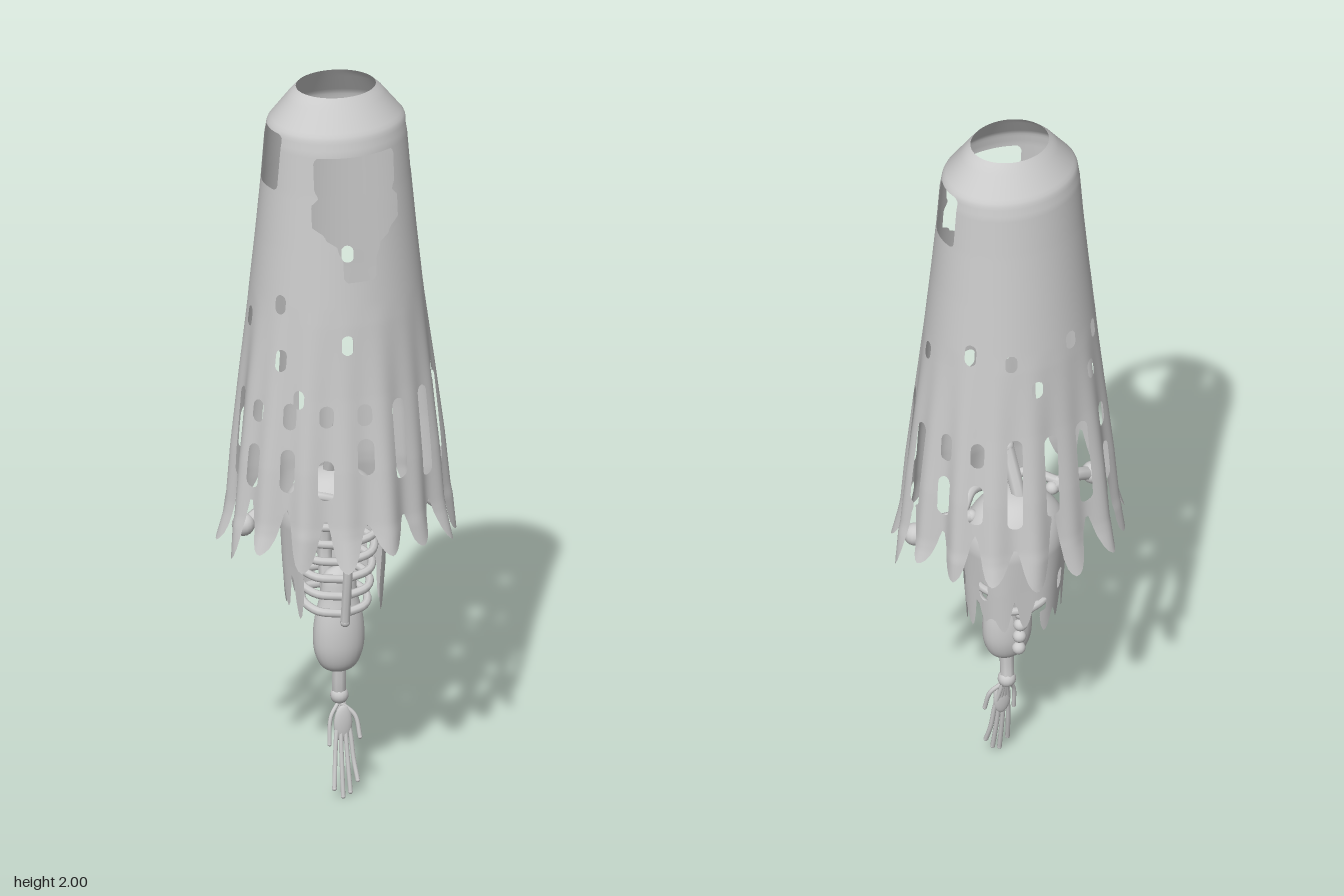
import * as THREE from 'three';
import { mergeVertices } from 'three/addons/utils/BufferGeometryUtils.js';

const V = (x, y, z) => new THREE.Vector3(x, y, z);
const rnd = (i) => { const s = Math.sin(i * 12.9898 + 4.1) * 43758.5453; return s - Math.floor(s); };
const mat = new THREE.MeshStandardMaterial({ color: 0xcccccc });
const clothMat = new THREE.MeshStandardMaterial({ color: 0xcccccc, side: THREE.DoubleSide });
const { PI, sin, cos, abs, min, max, hypot, round, floor, sqrt, exp } = Math;

// linear lookup in rows [y, ...values] sorted from top to bottom
function lookup(rows, y) {
  if (y >= rows[0][0]) return rows[0].slice(1);
  for (let i = 1; i < rows.length; i++) {
    if (y >= rows[i][0]) {
      const t = (rows[i - 1][0] - y) / (rows[i - 1][0] - rows[i][0]);
      return rows[i].slice(1).map((v, k) => rows[i - 1][k + 1] * (1 - t) + v * t);
    }
  }
  return rows[rows.length - 1].slice(1);
}

// cloth around the y axis (a = 0 is the front), trimmed where keep(a, y) < 0
function cloth(name, nu, nv, y0, y1, point, keep) {
  const pos = [];
  const node = (i, j) => {
    const a = -PI + 2 * PI * i / nu, y = y0 + (y1 - y0) * j / nv;
    return { a, y, f: keep(a, y) };
  };
  const grid = [];
  for (let i = 0; i <= nu; i++) {
    grid.push([]);
    for (let j = 0; j <= nv; j++) grid[i].push(node(i, j));
  }
  const clip = (tri) => {
    const out = [];
    tri.forEach((p, k) => {
      const q = tri[(k + 1) % 3];
      if (p.f >= 0) out.push(p);
      if ((p.f >= 0) !== (q.f >= 0)) {
        const [m, n] = p.f >= 0 ? [p, q] : [q, p], t = m.f / (m.f - n.f);
        out.push({ a: m.a + (n.a - m.a) * t, y: m.y + (n.y - m.y) * t });
      }
    });
    for (let k = 2; k < out.length; k++)
      for (const p of [out[0], out[k - 1], out[k]]) pos.push(...point(p.a, p.y));
  };
  for (let i = 0; i < nu; i++) {
    for (let j = 0; j < nv; j++) {
      const A = grid[i][j], B = grid[i + 1][j], C = grid[i + 1][j + 1], D = grid[i][j + 1];
      clip([A, D, C]);
      clip([A, C, B]);
    }
  }
  let geo = new THREE.BufferGeometry();
  geo.setAttribute('position', new THREE.Float32BufferAttribute(pos, 3));
  geo = mergeVertices(geo, 1e-5);
  geo.computeVertexNormals();
  const mesh = new THREE.Mesh(geo, clothMat);
  mesh.name = name;
  return mesh;
}

const wrap = (d) => d - 2 * PI * round(d / (2 * PI));
// upright rounded slot: angle, centre height, half length, radius
const slot = (a, y, s, R) => hypot(wrap(a - s[0]) * R, max(abs(y - s[1]) - s[2], 0)) - s[3];

// ragged hem: gaps between strips, uneven pointed tips
function hem(a, n, tipLow, tipVar, gapLow, gapVar, seed) {
  const p = (a / (2 * PI)) * n, i = round(p), d = abs(p - i);
  const tip = tipLow + tipVar * rnd(seed + ((floor(p) + n) % n)) + 0.06 * (0.5 - d);
  const gap = gapLow + gapVar * rnd(seed + 50 + ((i + n) % n));
  return tip + (gap - tip) * exp(-((d / 0.2) ** 2));
}

// robe: height, half width, half depth
const ROBE = [[2, 0.105, 0.09], [1.985, 0.122, 0.1], [1.91, 0.182, 0.15], [1.87, 0.188, 0.158], [1.75, 0.197, 0.168],
  [1.6, 0.211, 0.182], [1.4, 0.232, 0.2], [1.2, 0.256, 0.213], [1.0, 0.277, 0.23], [0.85, 0.288, 0.24], [0.7, 0.312, 0.258]];
const FACE = [[1.86, 0.1], [1.85, 0.11], [1.77, 0.11], [1.75, 0.1], [1.73, 0.118], [1.67, 0.118], [1.65, 0.09],
  [1.635, 0.085], [1.62, 0.06], [1.6, 0.055], [1.58, 0.045], [1.53, 0.045], [1.52, 0.035]];

function makeRobe() {
  const slots = [[-0.17, 1.35, 0.012, 0.015], [-1, 1.45, 0.01, 0.016], [-0.93, 1.3, 0.015, 0.015], [-0.69, 1.2, 0.01, 0.015],
    [1.47, 1.4, 0.01, 0.015], [2.2, 1.45, 0.015, 0.016], [1.09, 1.2, 0.01, 0.015], [-2.8, 1.45, 0.01, 0.016],
    [-2.3, 1.42, 0.012, 0.015], [-2, 1.48, 0.01, 0.015], [-2.5, 1.32, 0.012, 0.016], [2.7, 1.43, 0.01, 0.015],
    [3, 1.34, 0.01, 0.015], [-1.6, 1.38, 0.012, 0.015], [0, 1.155, 0.012, 0.018], [0, 1.04, 0.03, 0.02],
    [-0.39, 1.155, 0.012, 0.018], [-0.39, 0.98, 0.035, 0.02], [0.39, 1.07, 0.09, 0.02]];
  // slit columns between the strips
  for (let i = 2; i <= 14; i++) {
    const a = i * PI / 8;
    if (rnd(i) < 0.45) slots.push([a, 1.15, 0.012 + 0.02 * rnd(i + 7), 0.018], [a, 1.0, 0.04, 0.02]);
    else slots.push([a, 1.06, 0.1 + 0.02 * rnd(i + 9), 0.019]);
  }
  const point = (a, y) => {
    const [rx, rz] = lookup(ROBE, y);
    const t = min(max((1.45 - y) / 0.7, 0), 1), tip = max(0.82 - y, 0);
    const r = 1 + t * (0.03 * sin(5 * a + 1) + 0.02 * sin(9 * a) - 0.035 * cos(16 * a)) + tip * 0.4 * sin(7 * a + 2);
    return [sin(a) * rx * r, y, cos(a) * rz * r];
  };
  const keep = (a, y) => {
    const [rx, rz] = lookup(ROBE, y), R = (rx + rz) / 2;
    let f = y - hem(a, 16, 0.71, 0.07, 0.84, 0.1, 3);
    for (const s of slots) if (abs(y - s[1]) < s[2] + 0.08) f = min(f, slot(a, y, s, R));
    if (y > 1.45) {
      // face opening and the two side windows
      const x = sin(a) * rx, z = cos(a) * rz;
      if (cos(a) > 0) f = min(f, max(abs(x) - lookup(FACE, y)[0], abs(y - 1.69) - 0.17));
      const dz = max(abs(z - 0.01) - 0.035, 0), dy = max(abs(y - 1.828) - 0.062, 0);
      f = min(f, hypot(dz, dy) - 0.015);
    }
    return f;
  };
  return cloth('tatteredRobe', 200, 150, 2, 0.7, point, keep);
}

// inner cape: closed dome over the back of the rib cage
function makeCape() {
  const holes = [[2, 0.65, 0.015, 0.016], [-2.4, 0.64, 0.015, 0.016], [1.3, 0.66, 0.015, 0.015], [-3, 0.6, 0.01, 0.012]];
  const point = (a, y) => {
    const d = sqrt(max(1 - (max(y - 0.76, 0) / 0.14) ** 2, 0));
    const k = d * (1 - 0.5 * max(0.76 - y, 0)) * (1 + 0.03 * sin(6 * a) * min(1, (0.9 - y) * 4));
    return [0.01 + 0.14 * sin(a) * k, y, -0.04 + 0.122 * cos(a) * k];
  };
  const keep = (a, y) => {
    let f = min(y - hem(a, 14, 0.49, 0.06, 0.56, 0.07, 21), max((abs(a) - 0.95) * 0.13, y - 0.83));
    for (const s of holes) f = min(f, slot(a, y, s, 0.13));
    return f;
  };
  return cloth('innerCape', 96, 60, 0.9, 0.48, point, keep);
}

export function createModel() {
  const model = new THREE.Group();
  const add = (name, geo, p = [0, 0, 0], s = [1, 1, 1]) => {
    const m = new THREE.Mesh(geo, mat);
    m.name = name;
    m.position.set(...p);
    m.scale.set(...s);
    model.add(m);
    return m;
  };
  const ball = (name, r, p, s) => add(name, new THREE.SphereGeometry(r, 16, 12), p, s);
  const tube = (name, pts, r, n = 16) => {
    add(name, new THREE.TubeGeometry(new THREE.CatmullRomCurve3(pts.map((p) => V(...p))), n, r, 8));
    for (const p of [pts[0], pts[pts.length - 1]]) ball(name + 'End', r, p);
  };

  model.add(makeRobe(), makeCape());

  // rib cage
  for (let i = 0; i < 6; i++) {
    const y = 0.79 - i * 0.05, w = 0.115 - i * 0.006, zf = 0.085 - i * 0.004;
    for (const s of [1, -1]) {
      tube('rib', [[0, y + 0.01, -0.1], [s * w * 0.7, y + 0.015, -0.08], [s * w, y + 0.01, -0.01],
        [s * w * 0.75, y, zf * 0.7], [0, y - 0.008, zf]], 0.011, 20);
    }
  }
  tube('breastbone', [[0, 0.83, 0.075], [0, 0.7, 0.092], [0, 0.51, 0.07]], 0.013);
  tube('spine', [[0, 0.45, -0.03], [0, 0.65, -0.085], [0, 0.85, -0.06], [0.01, 1.02, 0]], 0.02, 24);
  ball('neckKnob', 0.026, [0.01, 1.04, 0.02]);

  // shoulders and arm stumps
  for (const s of [1, -1]) {
    tube('collarbone', [[0, 0.85, 0.07], [s * 0.08, 0.87, 0.05], [s * 0.14, 0.85, 0]], 0.013);
    tube('armBone', [[s * 0.12, 0.84, -0.01], [s * 0.19, 0.84, 0.01], [s * 0.26, 0.81, 0.03]], 0.018);
    ball('armKnob', 0.03, [s * 0.265, 0.81, 0.03]);
  }

  // pelvis and vertebra knobs
  const profile = [[0, 0.345], [0.03, 0.35], [0.052, 0.37], [0.066, 0.41], [0.068, 0.46], [0.062, 0.51], [0.05, 0.56], [0.04, 0.62], [0, 0.64]];
  const curve = new THREE.SplineCurve(profile.map((p) => new THREE.Vector2(...p)));
  add('pelvis', new THREE.LatheGeometry(curve.getPoints(32), 24), [0.008, 0, 0], [1, 1, 0.75]);
  for (let i = 0; i < 4; i++) ball('vertebra', 0.018, [0.005, 0.4 + i * 0.04, -0.055 - i * 0.004]);

  // lower bone
  tube('lowerBone', [[0.01, 0.37, 0], [0.01, 0.31, -0.003], [0.012, 0.27, -0.008]], 0.019);
  ball('wristKnob', 0.024, [0.012, 0.272, -0.006]);

  // hand: fingers spread from the palm
  ball('palm', 0.03, [0.014, 0.2, 0.016], [0.85, 1.7, 0.35]);
  const fingers = [[-0.022, 0.035], [0.002, 0.01], [0.022, 0.02], [0.042, 0.05]];
  fingers.forEach(([x, y], i) => {
    const k = -0.006 + i * 0.013;
    tube('finger', [[0.012 + k * 0.3, 0.25, 0], [k, 0.17, 0.02], [(k + x) / 2, 0.1, 0.033], [x, y, 0.05]], 0.0062);
  });
  tube('thumb', [[0.016, 0.25, 0.006], [0.045, 0.22, 0.022], [0.053, 0.165, 0.037]], 0.006);
  tube('sideFinger', [[0.008, 0.255, 0], [-0.018, 0.22, 0.012], [-0.026, 0.15, 0.024]], 0.0055);

  return model;
}
